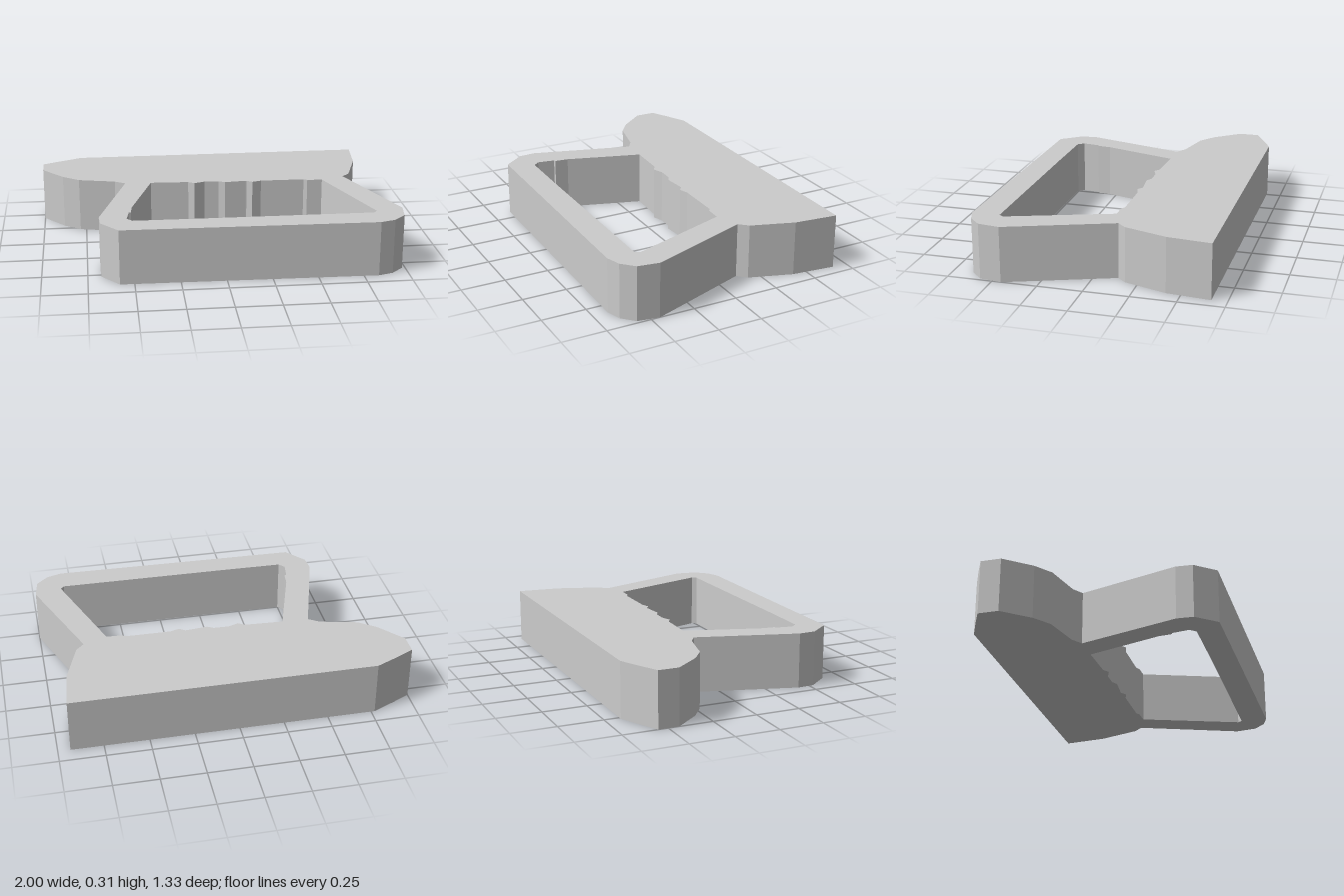
import * as THREE from 'three';

const HEIGHT = 0.31;

// Plan outline as [x, z]: wide back block narrowing into the handle loop
const OUTLINE = [
  [-0.77, -0.665], [0.932, -0.665], [0.907, -0.42], [0.828, -0.18], [0.782, -0.132],
  [1, 0.45], [0.982, 0.572], [0.915, 0.637], [0.832, 0.664], [-0.58, 0.642],
  [-0.675, 0.525], [-0.68, 0.43], [-0.515, -0.135], [-0.575, -0.175],
  [-0.785, -0.225], [-0.88, -0.295], [-1, -0.44], [-1, -0.555], [-0.9, -0.605],
];

// Opening inside the handle, with small finger notches along the block
const OPENING = [
  [-0.365, -0.13], [-0.145, -0.12], [-0.11, -0.096], [-0.05, -0.118], [0.035, -0.116],
  [0.07, -0.096], [0.195, -0.108], [0.2, -0.108], [0.232, -0.085], [0.285, -0.102],
  [0.54, -0.1], [0.56, -0.086], [0.647, -0.083], [0.847, 0.485], [0.828, 0.51],
  [-0.17, 0.506], [-0.5, 0.502], [-0.53, 0.467], [-0.515, 0.37], [-0.503, 0.367],
  [-0.495, 0.29],
];

// Reversed so the walls of both outline and opening face outwards
const toPlan = (points) => points.map(([x, z]) => new THREE.Vector2(x, -z)).reverse();

export function createModel() {
  const group = new THREE.Group();
  group.name = 'handle';

  // One flat slab, pierced by the opening and laid on the ground
  const shape = new THREE.Shape(toPlan(OUTLINE));
  shape.holes.push(new THREE.Path(toPlan(OPENING)));
  const geometry = new THREE.ExtrudeGeometry(shape, { depth: HEIGHT, bevelEnabled: false });
  geometry.rotateX(-Math.PI / 2);

  const material = new THREE.MeshStandardMaterial({ color: 0xcccccc, flatShading: true });
  const body = new THREE.Mesh(geometry, material);
  body.name = 'handleBody';
  group.add(body);
  return group;
}
